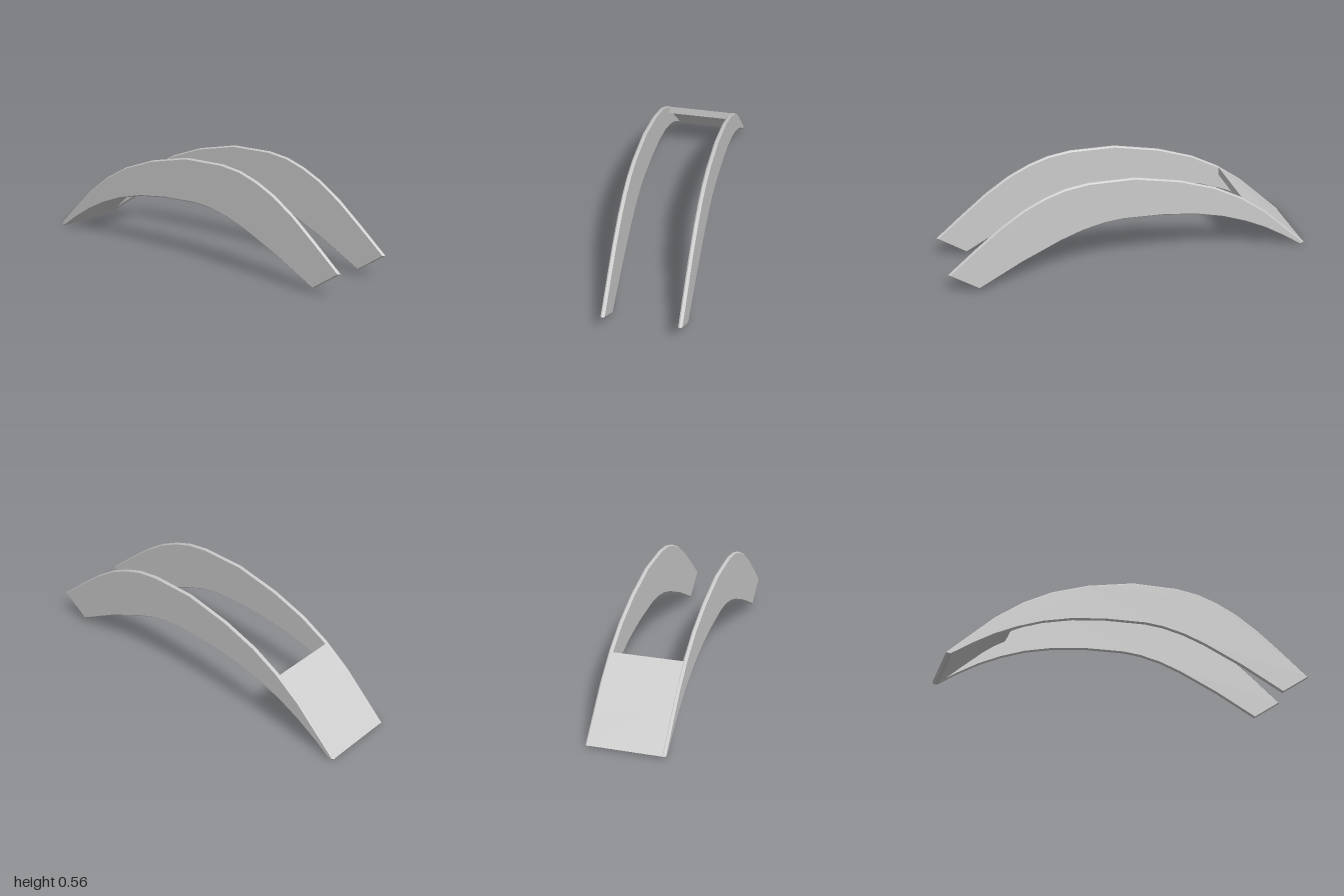
import * as THREE from 'three';
import { toCreasedNormals } from 'three/addons/utils/BufferGeometryUtils.js';

const material = new THREE.MeshStandardMaterial({ color: 0xcccccc });

// Outline of one curved side plate: upper edge left to right, lower edge back again
const upper = [
  [-1, 0.01], [-0.757, 0.243], [-0.61, 0.352], [-0.457, 0.435], [-0.26, 0.505],
  [-0.008, 0.559], [0.243, 0.564], [0.366, 0.547], [0.473, 0.512], [0.586, 0.458],
  [0.714, 0.373], [0.853, 0.26], [1, 0.135],
];
const lower = [
  [0.843, 0.026], [0.607, 0.152], [0.393, 0.249], [0.275, 0.291], [0.158, 0.317],
  [0.06, 0.325], [-0.163, 0.315], [-0.345, 0.291], [-0.505, 0.251], [-0.639, 0.2],
  [-0.757, 0.142], [-0.87, 0.072], [-0.97, 0.002], [-0.985, 0],
];
// Cross-section of the panel that joins the plates at the low end
const panel = [
  [-0.998, 0.01], [-0.757, 0.241], [-0.62, 0.342], [-0.62, 0.297],
  [-0.68, 0.26], [-0.74, 0.213], [-0.85, 0.113], [-0.968, 0.002], [-0.985, 0],
];

function extrude(name, points, options) {
  const shape = new THREE.Shape(points.map(([x, y]) => new THREE.Vector2(x, y)));
  const geometry = new THREE.ExtrudeGeometry(shape, options);
  geometry.center();
  geometry.computeBoundingBox();
  // Put the outline back where it was drawn, centred only in depth
  const minX = Math.min(...points.map((p) => p[0]));
  const minY = Math.min(...points.map((p) => p[1]));
  geometry.translate(minX - geometry.boundingBox.min.x, minY - geometry.boundingBox.min.y, 0);
  const mesh = new THREE.Mesh(toCreasedNormals(geometry, 0.5), material);
  mesh.name = name;
  return mesh;
}

export function createModel() {
  const group = new THREE.Group();
  group.name = 'curvedGuard';

  // Two thin side plates with chamfered rims
  for (const side of [1, -1]) {
    const plate = extrude(side > 0 ? 'frontSidePlate' : 'backSidePlate', [...upper, ...lower], {
      depth: 0.008, bevelEnabled: true, bevelSegments: 1,
      bevelThickness: 0.007, bevelSize: 0.006, bevelOffset: -0.006,
    });
    plate.position.z = side * 0.195;
    group.add(plate);
  }

  // Joining panel
  group.add(extrude('joiningPanel', panel, { depth: 0.386, bevelEnabled: false }));
  return group;
}
